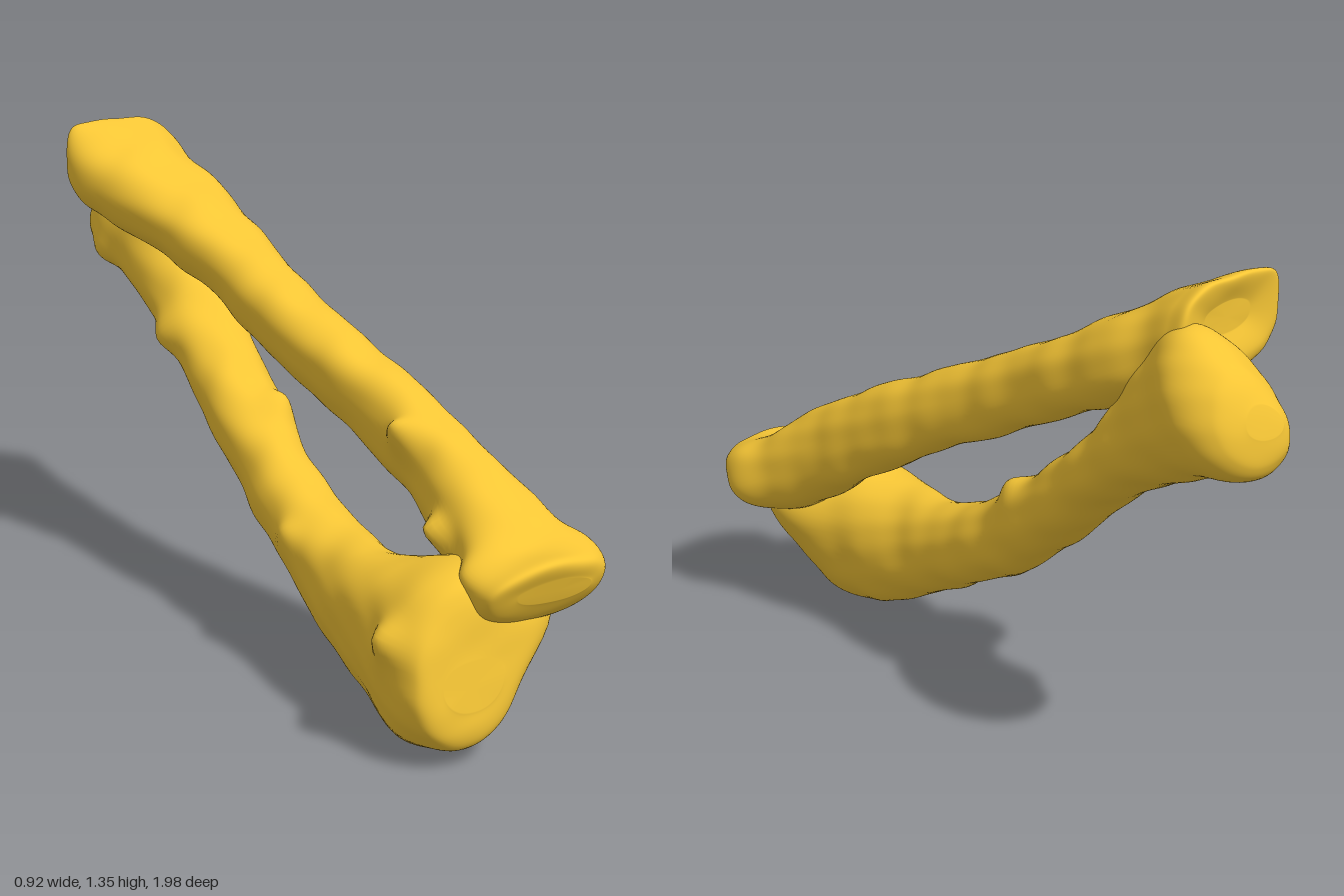
import * as THREE from 'three';

const material = new THREE.MeshStandardMaterial({ color: 0xf5c535 });

// Smooth, repeatable surface roughness
const roughness = (x, y, z) =>
  0.45 * Math.sin(15 * x - 11 * y + 4) * Math.sin(9 * z + 14 * x) +
  0.35 * Math.sin(21 * z - 17 * y + 1) * Math.sin(27 * x + 13 * y) +
  0.2 * Math.sin(43 * y - 31 * x) * Math.sin(37 * z + 29 * y + 2);

// Catmull-Rom interpolation of one column of a section table
function sample(rows, t, col) {
  const n = rows.length - 1;
  const i = Math.min(Math.floor(t * n), n - 1);
  const f = t * n - i;
  const [a, b, c, d] = [-1, 0, 1, 2].map(k => rows[Math.min(n, Math.max(0, i + k))][col]);
  return b + 0.5 * f * (c - a + f * (2 * a - 5 * b + 4 * c - d + f * (3 * (b - c) + d - a)));
}

// Loft through oval sections:
// [xMin, xMax, topZ, topY, bottomZ, bottomY, skew in z, pull-in of the upper -x side].
// Each bump { at, radius, push } pulls nearby skin out into a spur or knob.
function bone(name, rows, { power, rough, bumps }) {
  const rings = 190, sides = 72, pos = [], index = [];
  const roundOff = a => Math.sign(a) * Math.abs(a) ** power;
  for (let i = 0; i <= rings; i++) {
    const [x0, x1, zt, yt, zb, yb, skew, taper] =
      [0, 1, 2, 3, 4, 5, 6, 7].map(c => sample(rows, i / rings, c));
    const half = (x1 - x0) / 2;
    for (let j = 0; j < sides; j++) {
      const a = (j / sides) * Math.PI * 2;
      const u = roundOff(Math.cos(a)), v = roundOff(Math.sin(a));
      const p = new THREE.Vector3(
        (x0 + x1) / 2 + u * half + taper * (0.5 + 0.5 * v) * (0.5 - 0.5 * u),
        (yt + yb) / 2 + v * (yt - yb) / 2,
        (zt + zb) / 2 + v * (zt - zb) / 2 - skew * u * half);
      const r = rough * roughness(p.x, p.y, p.z);
      const q = p.clone().add(new THREE.Vector3(u * r, v * r, v * r * 0.4));
      for (const { at, radius, push } of bumps) {
        const d = p.distanceTo(new THREE.Vector3(...at)) / radius;
        q.addScaledVector(new THREE.Vector3(...push), Math.exp(-d * d));
      }
      pos.push(q.x, q.y, q.z);
    }
  }
  for (let i = 0; i < rings; i++) {
    for (let j = 0; j < sides; j++) {
      const k = (j + 1) % sides;
      const a = i * sides + j, b = i * sides + k, c = a + sides, d = b + sides;
      index.push(a, c, b, b, c, d);
    }
  }
  // Closed ends
  const mid = r => [(r[0] + r[1]) / 2, (r[3] + r[5]) / 2, (r[2] + r[4]) / 2];
  const front = pos.length / 3, end = rings * sides;
  pos.push(...mid(rows[0]), ...mid(rows[rows.length - 1]));
  for (let j = 0; j < sides; j++) {
    const k = (j + 1) % sides;
    index.push(front, j, k, front + 1, end + k, end + j);
  }
  const geo = new THREE.BufferGeometry();
  geo.setAttribute('position', new THREE.Float32BufferAttribute(pos, 3));
  geo.setIndex(index);
  geo.computeVertexNormals();
  const mesh = new THREE.Mesh(geo, material);
  mesh.name = name;
  return mesh;
}

export function createModel() {
  const model = new THREE.Group();
  model.name = 'pairedLongBones';

  // Upper, slimmer bone with two flared ends
  model.add(bone('upperBone', [
    [0.18, 0.40, 0.96, 0.46, 0.94, 0.40, 0.15, 0],
    [0.11, 0.45, 0.97, 0.51, 0.89, 0.34, 0.2, 0],
    [0.11, 0.46, 0.87, 0.53, 0.80, 0.32, 0.2, 0],
    [0.12, 0.37, 0.72, 0.64, 0.66, 0.37, 0.3, 0],
    [0.10, 0.29, 0.56, 0.73, 0.46, 0.50, 0.4, 0],
    [0.06, 0.24, 0.42, 0.80, 0.32, 0.58, 0.4, 0],
    [-0.03, 0.16, 0.22, 0.89, 0.12, 0.70, 0.4, 0],
    [-0.11, 0.09, 0.02, 0.98, -0.08, 0.79, 0.4, 0],
    [-0.18, 0.04, -0.20, 1.08, -0.30, 0.90, 0.4, 0],
    [-0.29, 0.00, -0.40, 1.19, -0.50, 0.99, 0.4, 0],
    [-0.40, -0.06, -0.55, 1.28, -0.62, 1.05, 0.35, 0],
    [-0.45, -0.09, -0.66, 1.34, -0.69, 1.09, 0.3, 0],
    [-0.44, -0.12, -0.72, 1.355, -0.72, 1.14, 0.3, 0],
    [-0.36, -0.20, -0.70, 1.29, -0.70, 1.21, 0.3, 0],
  ], {
    power: 0.85, rough: 0.008,
    bumps: [
      { at: [0.12, 0.69, 0.5], radius: 0.045, push: [-0.06, 0.06, 0] },
      { at: [0.12, 0.5, 0.68], radius: 0.045, push: [-0.05, 0.02, 0] },
      { at: [0.12, 0.46, 0.88], radius: 0.06, push: [-0.04, 0.01, 0] },
      { at: [0.44, 0.5, 0.85], radius: 0.07, push: [0.01, 0.02, 0] },
      { at: [-0.42, 1.3, -0.68], radius: 0.05, push: [-0.01, 0.03, 0] },
    ],
  }));

  // Lower, heavier bone with a pear-shaped front head and a deep rear end
  model.add(bone('lowerBone', [
    [0.00, 0.14, 0.94, 0.27, 0.965, 0.16, 0.12, 0],
    [-0.07, 0.20, 0.91, 0.40, 0.95, 0.06, 0.12, 0],
    [-0.11, 0.23, 0.85, 0.45, 0.77, 0.00, 0.12, 0],
    [-0.11, 0.20, 0.70, 0.45, 0.58, 0.04, 0.12, 0],
    [-0.13, 0.13, 0.52, 0.42, 0.35, 0.15, 0.12, 0],
    [-0.14, 0.08, 0.30, 0.45, 0.15, 0.26, 0.12, 0],
    [-0.16, 0.04, 0.05, 0.56, -0.08, 0.38, 0.12, 0],
    [-0.20, 0.02, -0.13, 0.69, -0.30, 0.55, 0.12, 0],
    [-0.25, -0.01, -0.34, 0.85, -0.50, 0.73, 0.12, 0.02],
    [-0.31, -0.02, -0.51, 1.03, -0.68, 0.84, 0.12, 0.06],
    [-0.36, -0.03, -0.62, 1.19, -0.83, 0.90, 0.12, 0.1],
    [-0.38, -0.03, -0.76, 1.27, -0.95, 0.93, 0.12, 0.13],
    [-0.34, -0.08, -0.91, 1.20, -0.99, 0.98, 0.12, 0.1],
    [-0.28, -0.16, -0.97, 1.12, -0.99, 1.05, 0.12, 0.04],
  ], {
    power: 0.92, rough: 0.009,
    bumps: [
      { at: [0.21, 0.31, 0.82], radius: 0.13, push: [0.13, 0.04, -0.01] },
      { at: [0.08, 0.45, 0.82], radius: 0.1, push: [0.03, 0.03, 0] },
      { at: [-0.11, 0.32, 0.85], radius: 0.05, push: [-0.035, 0.01, 0] },
      { at: [-0.33, 0.95, -0.78], radius: 0.06, push: [-0.02, -0.01, 0] },
      { at: [-0.25, 0.78, -0.42], radius: 0.05, push: [-0.025, -0.01, 0] },
      { at: [-0.02, 0.64, -0.08], radius: 0.05, push: [0.02, 0.025, 0] },
      { at: [-0.14, 0.38, 0.27], radius: 0.05, push: [-0.02, 0.02, 0] },
    ],
  }));

  return model;
}
